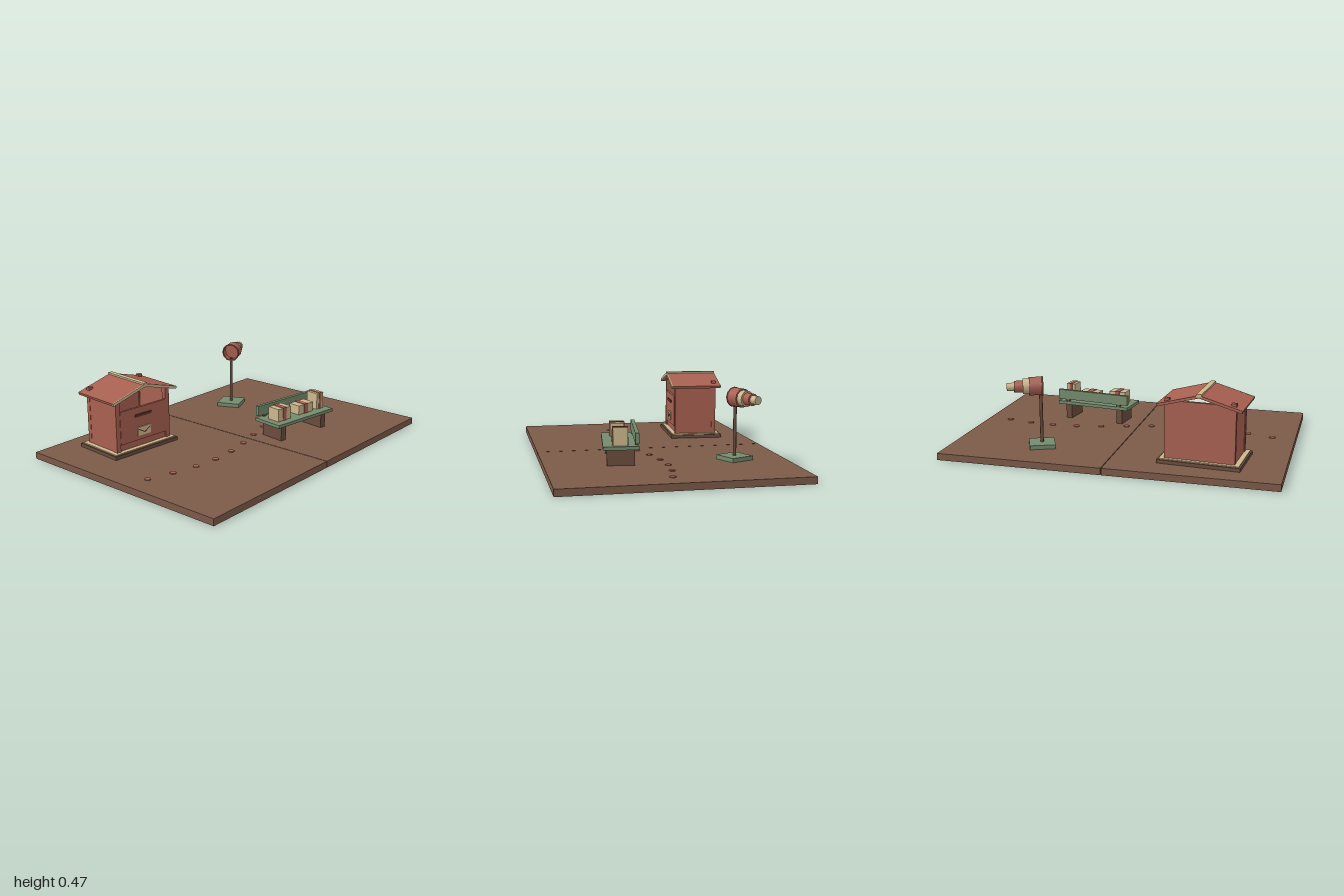
import * as THREE from 'three';

const mat = (name, color) => Object.assign(new THREE.MeshStandardMaterial({ color }), { name });
const M = {
  earth: mat('earthBrown', 0x7c5a48),
  wood: mat('darkWood', 0x6a4c3c),
  red: mat('brickRed', 0xa86051),
  cream: mat('cream', 0xcdb78c),
  green: mat('sageGreen', 0x748b6d),
  dark: mat('darkMaroon', 0x5a342c),
};
M.tube = M.red.clone();
M.tube.name = 'openTubeRed';
M.tube.side = THREE.DoubleSide;

const add = (parent, name, geo, material, x, y, z) => {
  const mesh = new THREE.Mesh(geo, material);
  mesh.name = name;
  mesh.position.set(x, y, z);
  parent.add(mesh);
  return mesh;
};
// Box given by its centre in x and z, and by its bottom and top heights
const block = (parent, name, m, x, z, w, d, y0, y1) =>
  add(parent, name, new THREE.BoxGeometry(w, y1 - y0, d), m, x, (y0 + y1) / 2, z);

const group = (parent, name, x, z, turn) => {
  const g = new THREE.Group();
  g.name = name;
  g.position.set(x, 0, z);
  g.rotation.y = turn;
  parent.add(g);
  return g;
};

function addGround(root) {
  for (const s of [-1, 1]) block(root, 'groundBoard', M.earth, s * 0.501, 0, 0.998, 1.415, 0, 0.041);
  // Stepping stones on a gentle wave
  for (let i = 0; i < 12; i++) {
    const x = -0.86 + i * 0.1555;
    const z = 0.1 + 0.09 * Math.cos(((x + 0.39) / 0.93) * Math.PI);
    add(root, 'pathStone', new THREE.CylinderGeometry(0.019, 0.019, 0.006, 10), M.red, x, 0.043, z);
  }
}

function addBooth(root) {
  const g = group(root, 'booth', -0.53, -0.39, -0.07);
  block(g, 'plinth', M.wood, 0, 0, 0.485, 0.335, 0.04, 0.062);
  block(g, 'floor', M.cream, 0, 0, 0.465, 0.315, 0.062, 0.068);
  block(g, 'backWall', M.red, 0, -0.125, 0.37, 0.02, 0.066, 0.405);
  for (const s of [-1, 1]) {
    block(g, 'sideWall', M.red, s * 0.193, 0, 0.02, 0.25, 0.066, 0.39);
    block(g, 'frontPost', M.red, s * 0.192, 0.122, 0.03, 0.03, 0.066, 0.388);
    block(g, 'backPost', M.red, s * 0.191, -0.122, 0.028, 0.026, 0.066, 0.418);
  }
  // Front counter with mail slot and envelope
  block(g, 'frontWall', M.red, 0, 0.118, 0.37, 0.02, 0.066, 0.3);
  block(g, 'frontPanel', M.red, 0, 0.132, 0.355, 0.016, 0.11, 0.315);
  block(g, 'mailSlot', M.dark, -0.005, 0.142, 0.125, 0.008, 0.257, 0.273);
  block(g, 'envelope', M.cream, 0, 0.142, 0.1, 0.008, 0.136, 0.19);
  for (const s of [-1, 1]) {
    const fold = add(g, 'envelopeFold', new THREE.BoxGeometry(0.052, 0.006, 0.004), M.dark, s * 0.023, 0.166, 0.146);
    fold.rotation.z = s * 0.5;
  }
  // Gabled roof with cream front trim and ridge strip
  for (const s of [-1, 1]) {
    const slope = new THREE.Group();
    slope.name = 'roofSlope';
    slope.position.set(s * 0.121, 0.414, 0);
    slope.rotation.z = -s * 0.27;
    g.add(slope);
    add(slope, 'roofPanel', new THREE.BoxGeometry(0.254, 0.016, 0.325), M.red, 0, 0, 0);
    add(slope, 'gableTrim', new THREE.BoxGeometry(0.254, 0.017, 0.008), M.cream, 0, 0, 0.163);
  }
  block(g, 'ridgeStrip', M.cream, 0, 0, 0.03, 0.33, 0.445, 0.462);
}

function addBench(root) {
  const g = group(root, 'parcelBench', 0.302, 0.25, -0.13);
  block(g, 'benchTop', M.green, 0, 0, 0.49, 0.205, 0.138, 0.158);
  block(g, 'backBoard', M.green, 0, -0.091, 0.488, 0.022, 0.172, 0.235);
  for (const s of [-1, 1]) {
    block(g, 'leg', M.wood, s * 0.18, 0, 0.04, 0.16, 0.04, 0.14);
    block(g, 'boardSupport', M.wood, s * 0.18, -0.091, 0.025, 0.016, 0.156, 0.18);
  }
  // Parcels: x, z, width, depth, top height, band width
  for (const [x, z, w, d, top, band] of [
    [-0.145, 0.01, 0.11, 0.085, 0.238, 0.03],
    [0.055, 0.004, 0.13, 0.082, 0.217, 0.034],
    [0.185, 0.003, 0.06, 0.085, 0.262, 0.02],
  ]) {
    block(g, 'parcel', M.cream, x, z, w, d, 0.158, top);
    block(g, 'parcelBand', M.red, x, z, band, d + 0.006, 0.158, top + 0.003);
  }
}

function addTelescope(root) {
  const g = group(root, 'telescope', 0.457, -0.408, 0.41);
  block(g, 'base', M.green, 0, 0, 0.152, 0.152, 0.04, 0.066);
  add(g, 'pole', new THREE.CylinderGeometry(0.01, 0.01, 0.31, 8), M.wood, 0, 0.215, 0);
  // Tube sections, narrowing toward the eyepiece: start, end, radius
  const section = (name, m, x0, x1, r, open) => {
    const geo = new THREE.CylinderGeometry(r, r, x1 - x0, 12, 1, open);
    geo.rotateZ(-Math.PI / 2);
    return add(g, name, geo, m, (x0 + x1) / 2, 0.41, 0);
  };
  section('frontTube', M.tube, -0.014, 0.065, 0.056, true);
  section('creamTube', M.cream, 0.05, 0.105, 0.047);
  section('redTube', M.red, 0.105, 0.155, 0.036);
  section('eyepiece', M.cream, 0.155, 0.198, 0.025);
  const rim = new THREE.TorusGeometry(0.055, 0.005, 6, 12);
  rim.rotateY(Math.PI / 2);
  add(g, 'lensRim', rim, M.red, -0.01, 0.41, 0);
  section('collar', M.red, 0.045, 0.068, 0.0555);
}

export function createModel() {
  const root = new THREE.Group();
  root.name = 'postStationScene';
  addGround(root);
  addBooth(root);
  addBench(root);
  addTelescope(root);
  return root;
}
